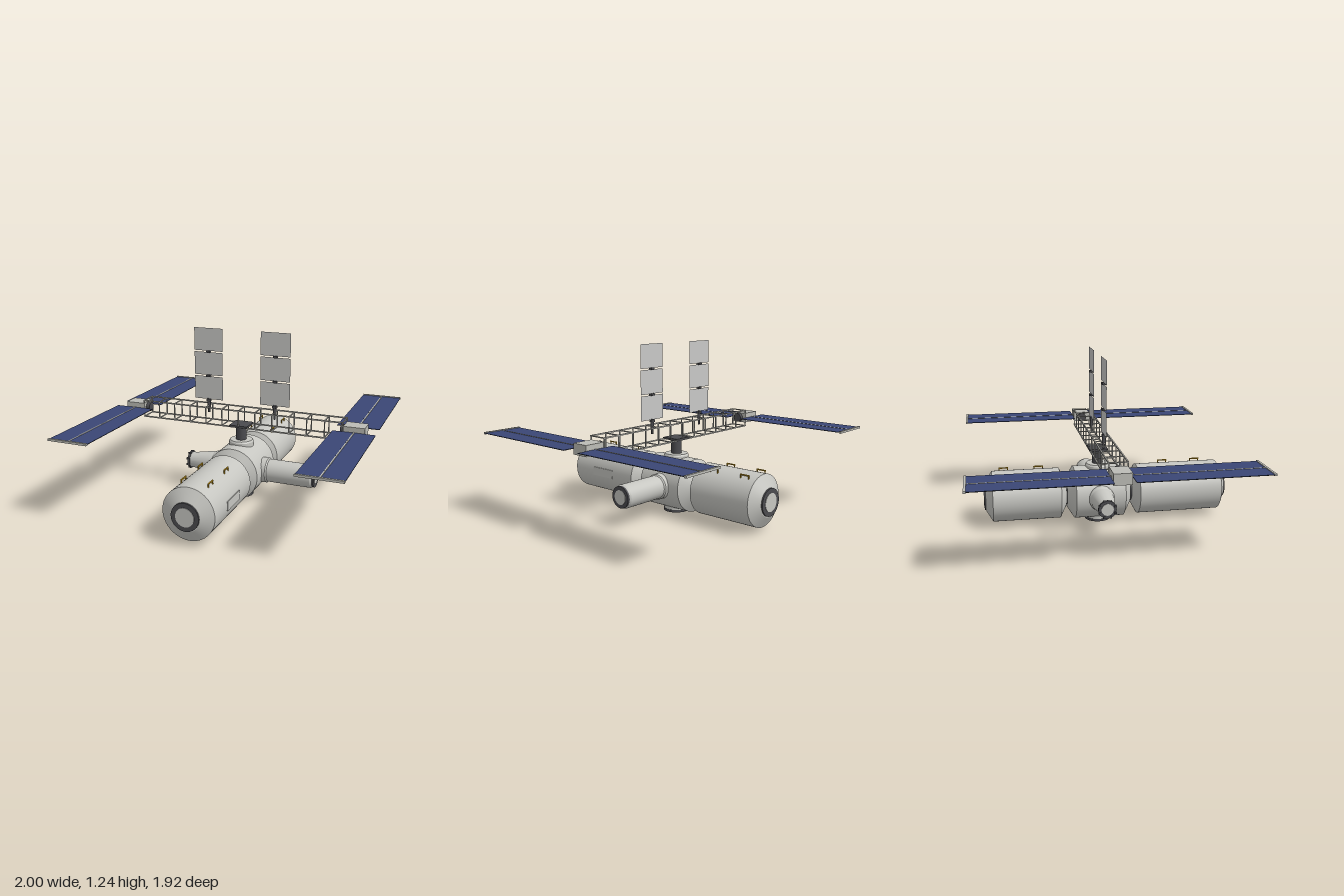
import * as THREE from 'three';
import { toCreasedNormals } from 'three/addons/utils/BufferGeometryUtils.js';

const mat = (name, color, side = THREE.FrontSide) => {
  const m = new THREE.MeshStandardMaterial({ color, side });
  m.name = name;
  return m;
};

export function createModel() {
  const hull = mat('hull grey', 0xc6c6c1);
  const metal = mat('truss grey', 0xbcbcb6);
  const dark = mat('dark metal', 0x4b4b4f);
  const white = mat('radiator grey', 0xc8c8c6, THREE.DoubleSide);
  const blue = mat('solar blue', 0x3a4675);
  const back = mat('panel back', 0x2b2b2d);
  const yellow = mat('handrail yellow', 0xc79a1e);

  const model = new THREE.Group();
  const AXIS = 0.215; // height of the pressurised modules
  const ZC = -0.006;  // centre plane of node and truss

  const add = (parent, name, geo, material, x = 0, y = 0, z = 0) => {
    const mesh = new THREE.Mesh(geo, material);
    mesh.name = name;
    mesh.position.set(x, y, z);
    parent.add(mesh);
    return mesh;
  };
  const box = (parent, name, m, w, h, d, x, y, z) =>
    add(parent, name, new THREE.BoxGeometry(w, h, d), m, x, y, z);
  const lathe = (parent, name, m, pts) => add(parent, name,
    toCreasedNormals(new THREE.LatheGeometry(pts.map(p => new THREE.Vector2(...p)), 48), 0.25), m);
  const cyl = (parent, name, m, r, y0, y1, seg = 40) =>
    add(parent, name, new THREE.CylinderGeometry(r, r, y1 - y0, seg), m, 0, (y0 + y1) / 2, 0);

  // A group whose local +y runs along the given direction from the node centre
  const along = (name, dx, dy, dz, z = ZC) => {
    const g = new THREE.Group();
    g.name = name;
    g.position.set(0, AXIS, z);
    g.quaternion.setFromUnitVectors(new THREE.Vector3(0, 1, 0), new THREE.Vector3(dx, dy, dz));
    model.add(g);
    return g;
  };
  // Docking port: dark collar with a pale hatch
  const port = (g, r, y0, y1) => {
    cyl(g, 'dockingRing', dark, r, y0, y1 - 0.003);
    cyl(g, 'hatch', hull, r * 0.67, y0, y1);
  };

  // Central node
  const node = along('centralNode', 0, 0, 1);
  lathe(node, 'nodeHull', hull, [[0, -0.235], [0.105, -0.235], [0.193, -0.18],
    [0.193, 0.18], [0.105, 0.232], [0, 0.232]]);

  // Front and rear modules: [direction, cylinder start, cylinder end, tip]
  for (const [name, s, a, b, tip] of [['frontModule', 1, 0.285, 0.9, 0.957], ['rearModule', -1, 0.292, 0.78, 0.842]]) {
    const g = along(name, 0, 0, s, 0);
    cyl(g, 'joiningCollar', dark, 0.088, 0.2, a);
    lathe(g, 'moduleHull', hull, [[0, a - 0.045], [0.1, a - 0.045], [0.184, a],
      [0.184, b], [0.103, tip - 0.013], [0, tip - 0.013]]);
    port(g, 0.097, tip - 0.03, tip);
  }
  box(model, 'sidePanel', hull, 0.012, 0.065, 0.21, 0.181, AXIS, 0.595);

  // Handrails on top of the modules
  for (const x of [-0.095, 0.095]) {
    for (const z of [0.765, 0.51, -0.435, -0.692]) {
      box(model, 'handrail', yellow, 0.008, 0.008, 0.072, x, 0.395, z);
      for (const e of [-0.032, 0.032]) box(model, 'handrailPost', yellow, 0.007, 0.026, 0.007, x, 0.382, z + e);
    }
  }

  // Side laboratory (+x)
  const lab = along('leftLaboratory', 1, 0, 0);
  lathe(lab, 'laboratoryHull', hull, [[0, 0.1], [0.092, 0.1], [0.092, 0.215], [0.084, 0.225],
    [0.084, 0.55], [0.075, 0.565], [0, 0.565]]);
  port(lab, 0.077, 0.555, 0.58);

  // Tapered airlock (-x) with docking latches
  const lock = along('rightAirlock', -1, 0, 0);
  lathe(lock, 'airlockHull', hull, [[0, 0.1], [0.092, 0.1], [0.092, 0.2], [0.084, 0.215],
    [0.082, 0.25], [0.06, 0.37], [0.058, 0.405], [0, 0.405]]);
  port(lock, 0.064, 0.4, 0.42);
  for (let i = 0; i < 8; i++) {
    const t = (i + 0.5) * Math.PI / 4;
    box(lock, 'dockingLatch', dark, 0.014, 0.024, 0.014, 0.06 * Math.cos(t), 0.413, 0.06 * Math.sin(t));
  }

  // Lower and upper ports of the node
  const low = along('lowerPort', 0, -1, 0);
  lathe(low, 'lowerCollar', hull, [[0.09, 0.1], [0.09, 0.2], [0, 0.2]]);
  port(low, 0.094, 0.195, 0.215);
  const up = along('upperPort', 0, 1, 0);
  lathe(up, 'upperCollar', hull, [[0.09, 0.1], [0.09, 0.205], [0.082, 0.217], [0, 0.217]]);
  cyl(up, 'trussMast', dark, 0.038, 0.2, 0.325);
  box(up, 'mastPlate', dark, 0.138, 0.014, 0.135, 0, 0.328, 0);

  // Open truss: four rails and thirteen square frames
  const truss = new THREE.Group();
  truss.name = 'truss';
  truss.position.set(0, 0.6, ZC);
  model.add(truss);
  const H = 0.062, T = 0.009;
  for (const a of [-H, H]) {
    for (const b of [-H, H]) box(truss, 'trussRail', metal, 1.55, T, T, 0, a, b);
    for (let i = 0; i <= 12; i++) {
      const x = -0.771 + i * 0.1285;
      box(truss, 'trussUpright', metal, T * 0.8, 2 * H, T * 0.8, x, 0, a);
      box(truss, 'trussCrossbar', metal, T * 0.8, T * 0.8, 2 * H, x, a, 0);
    }
  }

  for (const s of [-1, 1]) {
    // Rotary joint and array housing at each truss end
    const joint = cyl(truss, 'rotaryJoint', dark, 0.034, 0, 0.04, 24);
    joint.rotation.z = Math.PI / 2;
    joint.position.set(s * 0.765, 0, 0);
    box(truss, 'arrayHousing', metal, 0.15, 0.075, 0.12, s * 0.848, 0, 0);

    // Solar wings fore and aft, each with two blankets, a mast and end bars
    for (const d of [-1, 1]) {
      const z0 = 0.067, z1 = 0.938, zm = d * (z0 + z1) / 2, len = z1 - z0;
      const wing = new THREE.Group();
      wing.name = 'solarWing';
      wing.position.x = s * 0.85;
      truss.add(wing);
      for (const k of [-1, 1]) {
        const cells = [back, back, blue, back, back, back];
        box(wing, 'solarBlanket', cells, 0.143, 0.004, len, k * 0.0775, 0, zm);
      }
      box(wing, 'wingMast', metal, 0.009, 0.008, len + 0.03, 0, 0, zm);
      box(wing, 'wingEndBar', metal, 0.298, 0.015, 0.016, 0, 0, d * 0.944);
    }

    // Radiator: three upright panels on a dark post
    const rad = new THREE.Group();
    rad.name = 'radiator';
    rad.position.set(s * 0.257, 0, ZC);
    model.add(rad);
    cyl(rad, 'radiatorPost', dark, 0.008, 0.61, 0.67, 16);
    cyl(rad, 'radiatorSocket', dark, 0.012, 0.65, 0.715, 16);
    box(rad, 'radiatorFoot', dark, 0.03, 0.016, 0.026, 0, 0.703, 0);
    for (const [y0, y1] of [[0.71, 0.883], [0.893, 1.063], [1.073, 1.24]])
      add(rad, 'radiatorPanel', new THREE.PlaneGeometry(0.222, y1 - y0), white, 0, (y0 + y1) / 2, 0);
    for (const y of [0.888, 1.068]) box(rad, 'radiatorHinge', dark, 0.03, 0.015, 0.026, 0, y, 0);
  }
  return model;
}
